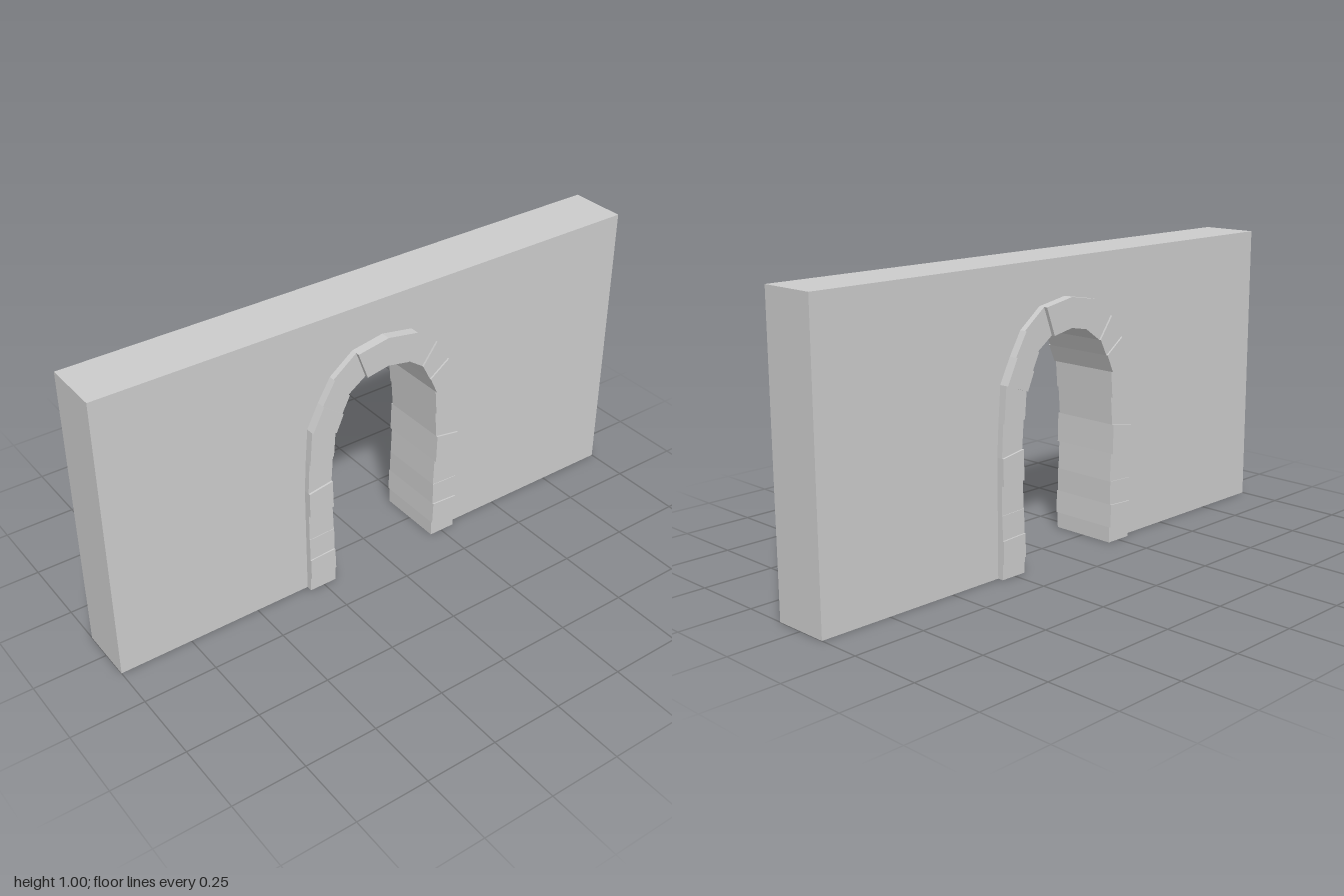
import * as THREE from 'three';

const HALF = 0.1; // half the wall thickness

// Joints up one side of the arch: [innerX, innerY, outerX, outerY]
const joints = [
  [0.205, 0, 0.303, 0],
  [0.204, 0.055, 0.303, 0.052],
  [0.207, 0.135, 0.303, 0.13],
  [0.207, 0.217, 0.303, 0.213],
  [0.211, 0.313, 0.303, 0.31],
  [0.214, 0.415, 0.303, 0.4],
  [0.207, 0.51, 0.297, 0.51],
  [0.2, 0.6, 0.288, 0.63],
  [0.173, 0.66, 0.246, 0.713],
  [0.145, 0.715, 0.2, 0.79],
  [0.08, 0.76, 0.115, 0.855],
];
// How far each stone stands out from the wall face
const reliefs = [0.021, 0.027, 0.022, 0.02, 0.028, 0.021, 0.027, 0.034, 0.028, 0.021];
const keyRelief = 0.034;

const material = new THREE.MeshStandardMaterial({ color: 0xcccccc, flatShading: true });

function slab(name, points, depth, z) {
  const shape = new THREE.Shape(points.map(([x, y]) => new THREE.Vector2(x, y)));
  const geometry = new THREE.ExtrudeGeometry(shape, { depth, bevelEnabled: false });
  geometry.translate(0, 0, z);
  const mesh = new THREE.Mesh(geometry, material);
  mesh.name = name;
  return mesh;
}

export function createModel() {
  const model = new THREE.Group();
  model.name = 'archedWall';

  // Wall with the doorway cut up from the ground
  const right = joints.map(([x, y]) => [x, y]);
  const left = joints.map(([x, y]) => [-x, y]).reverse();
  const outline = [[1, 0], [1, 1], [-1, 1], [-1, 0], ...left.reverse(), [0, 0.775], ...right.reverse()];
  model.add(slab('wall', outline, HALF * 2, -HALF));

  // Stone surround on the front and back faces
  for (const face of [1, -1]) {
    const surround = new THREE.Group();
    surround.name = face > 0 ? 'frontSurround' : 'backSurround';
    const base = (relief) => (face > 0 ? HALF : -HALF - relief);

    for (const side of [1, -1]) {
      reliefs.forEach((relief, i) => {
        const [ax, ay, bx, by] = joints[i];
        const [cx, cy, dx, dy] = joints[i + 1];
        const corners = [[ax, ay], [bx, by], [dx, dy], [cx, cy]].map(([x, y]) => [x * side, y]);
        surround.add(slab(i < 6 ? 'jambStone' : 'archStone', corners, relief, base(relief)));
      });
    }

    const [ix, iy, ox, oy] = joints[joints.length - 1];
    const key = [[ix, iy], [ox, oy], [0, 0.875], [-ox, oy], [-ix, iy], [0, 0.775]];
    surround.add(slab('keystone', key, keyRelief, base(keyRelief)));
    model.add(surround);
  }
  return model;
}
